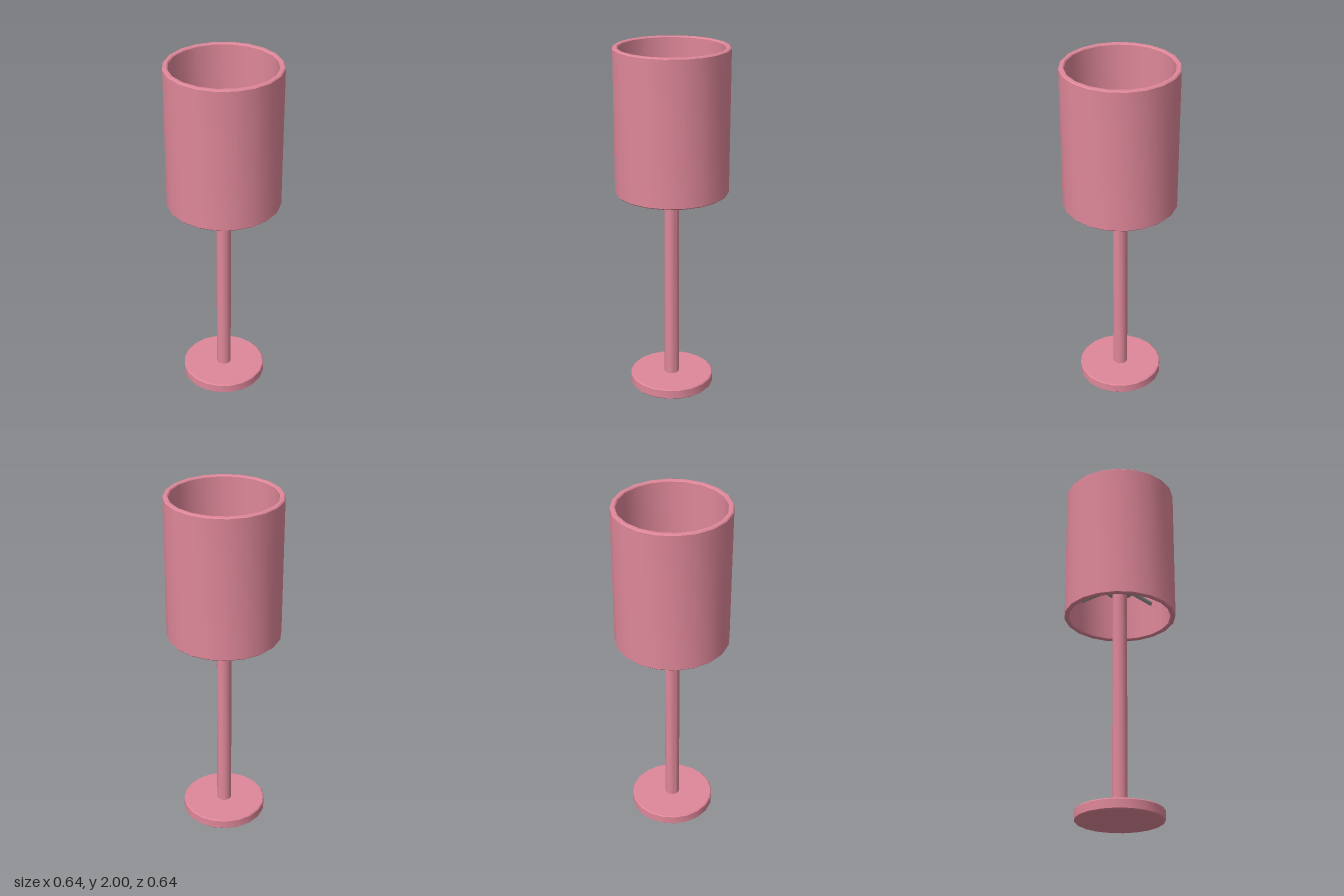
import * as THREE from 'three';
import { toCreasedNormals } from 'three/addons/utils/BufferGeometryUtils.js';

export function createModel() {
  const lamp = new THREE.Group();
  lamp.name = 'tableLamp';

  const pink = new THREE.MeshStandardMaterial({ color: 0xde8799 });
  pink.name = 'rosePink';
  const grey = new THREE.MeshStandardMaterial({ color: 0x989b99 });
  grey.name = 'metalGrey';
  const white = new THREE.MeshStandardMaterial({ color: 0xf2f2f2 });
  white.name = 'bulbWhite';

  const add = (name, geometry, material, y = 0) => {
    const mesh = new THREE.Mesh(geometry, material);
    mesh.name = name;
    mesh.position.y = y;
    lamp.add(mesh);
    return mesh;
  };

  // Turned part from a profile of [radius, height], outer side upwards
  const turned = (profile, sides) => toCreasedNormals(
    new THREE.LatheGeometry(profile.map(([r, y]) => new THREE.Vector2(r, y)), sides), 0.6);

  // Round foot with a small bevel
  add('base', turned([[0, 0], [0.236, 0], [0.242, 0.006], [0.242, 0.054], [0.236, 0.06], [0, 0.06]], 20), pink);

  // Pole running up into the shade
  add('pole', turned([[0, 0.05], [0.042, 0.05], [0.042, 1.37], [0, 1.37]], 14), pink);

  // Open, thick-walled drum shade
  add('shade', turned([
    [0.313, 1.19], [0.319, 1.196], [0.319, 1.994], [0.313, 2],
    [0.296, 2], [0.29, 1.994], [0.29, 1.196], [0.296, 1.19], [0.313, 1.19],
  ], 20), pink);

  // Cup holding the bulb
  add('socket', turned([
    [0, 1.35], [0.074, 1.35], [0.08, 1.356], [0.08, 1.444], [0.076, 1.45],
    [0.073, 1.446], [0.073, 1.41], [0, 1.41],
  ], 14), grey);

  // Bulb
  add('bulb', new THREE.SphereGeometry(0.072, 24, 16), white, 1.46);

  // Four spokes carrying the shade
  for (let i = 0; i < 4; i++) {
    const a = (i * Math.PI) / 2;
    const geometry = new THREE.CylinderGeometry(0.013, 0.013, 0.23, 10);
    geometry.rotateZ(Math.PI / 2).translate(0.18, 0, 0).rotateY(a);
    add('spoke' + (i + 1), geometry, grey, 1.4);
  }

  return lamp;
}
